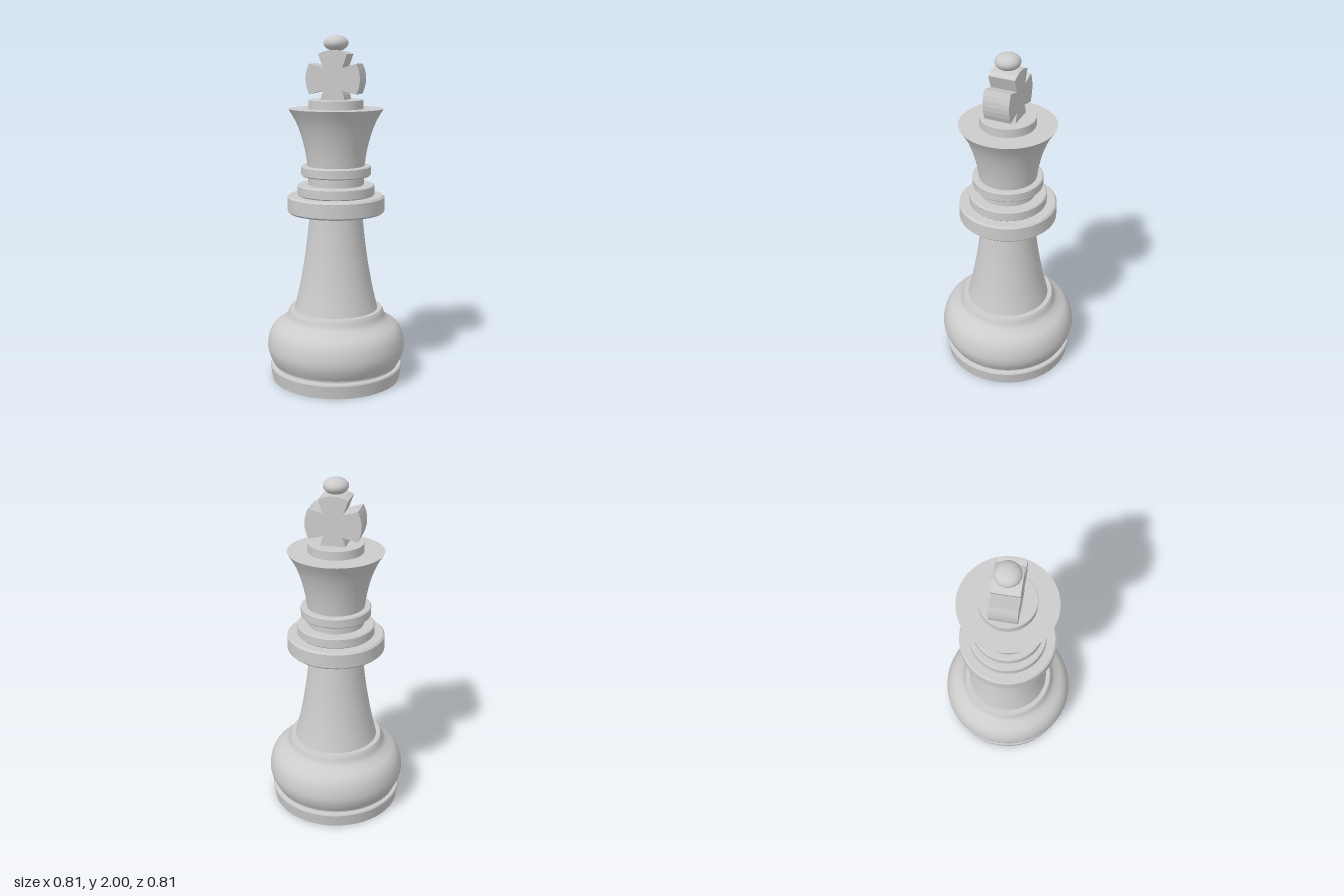
import * as THREE from 'three';
import { toCreasedNormals } from 'three/addons/utils/BufferGeometryUtils.js';

const SEGMENTS = 48;

export function createModel() {
  const group = new THREE.Group();
  const material = new THREE.MeshStandardMaterial({ color: 0xcccccc });

  function add(name, geometry) {
    const mesh = new THREE.Mesh(geometry, material);
    mesh.name = name;
    group.add(mesh);
    return mesh;
  }
  const points = (list) => list.map(([r, y]) => new THREE.Vector2(r, y));
  // Smooth curve through a few [radius, height] points
  const curve = (list, n) => new THREE.SplineCurve(points(list)).getPoints(n);
  // Closed turned part: the outline is capped on the axis at both ends
  function turned(name, outline) {
    const first = outline[0], last = outline[outline.length - 1];
    const profile = [new THREE.Vector2(0, first.y), ...outline, new THREE.Vector2(0, last.y)];
    return add(name, toCreasedNormals(new THREE.LatheGeometry(profile, SEGMENTS), 0.5));
  }
  // Disc with small bevels on both rims
  function ring(name, r, y0, y1, b = 0.006) {
    turned(name, points([[r - b, y0], [r, y0 + b], [r, y1 - b], [r - b, y1]]));
  }

  // Foot and bulging base
  turned('foot', points([[0.378, 0], [0.39, 0.077], [0.386, 0.086], [0.366, 0.088], [0.366, 0.105]]));
  turned('baseBulge', [
    ...curve([[0.37, 0.1], [0.393, 0.145], [0.405, 0.2], [0.393, 0.27], [0.365, 0.318],
      [0.325, 0.347], [0.293, 0.374], [0.28, 0.405]], 20),
    ...points([[0.277, 0.412], [0.27, 0.424]]),
  ]);

  // Tapering column
  turned('column', curve([[0.245, 0.42], [0.212, 0.56], [0.182, 0.73], [0.163, 0.88], [0.152, 1.0]], 14));

  // Stacked collars
  ring('mainCollar', 0.28, 0.995, 1.095, 0.01);
  ring('upperCollar', 0.222, 1.095, 1.156);
  ring('neck', 0.16, 1.15, 1.215, 0.001);
  ring('crownCollar', 0.2, 1.208, 1.266);

  // Flared crown and its cap
  turned('crown', curve([[0.164, 1.262], [0.175, 1.34], [0.198, 1.435], [0.23, 1.52], [0.271, 1.59]], 12));
  ring('crownCap', 0.156, 1.585, 1.641, 0.002);

  // Cross with flared arms and rounded ends, its foot cut off flat by the cap
  const cross = new THREE.Shape();
  cross.moveTo(0.07, 1.637);
  cross.lineTo(0.064, 1.667);
  cross.lineTo(0.05, 1.695);
  cross.lineTo(0.136, 1.673);
  cross.quadraticCurveTo(0.178, 1.757, 0.136, 1.842);
  cross.lineTo(0.055, 1.819);
  cross.lineTo(0.083, 1.895);
  cross.quadraticCurveTo(0, 1.938, -0.083, 1.895);
  cross.lineTo(-0.055, 1.819);
  cross.lineTo(-0.136, 1.842);
  cross.quadraticCurveTo(-0.178, 1.757, -0.136, 1.673);
  cross.lineTo(-0.05, 1.695);
  cross.lineTo(-0.064, 1.667);
  cross.lineTo(-0.07, 1.637);
  const crossGeometry = new THREE.ExtrudeGeometry(cross, { depth: 0.15, bevelEnabled: false, curveSegments: 6 });
  crossGeometry.translate(0, 0, -0.075);
  add('cross', crossGeometry);

  // Flattened ball on top
  const ball = add('finial', new THREE.SphereGeometry(0.07, 32, 16));
  ball.scale.y = 0.64;
  ball.position.y = 1.955;

  return group;
}
